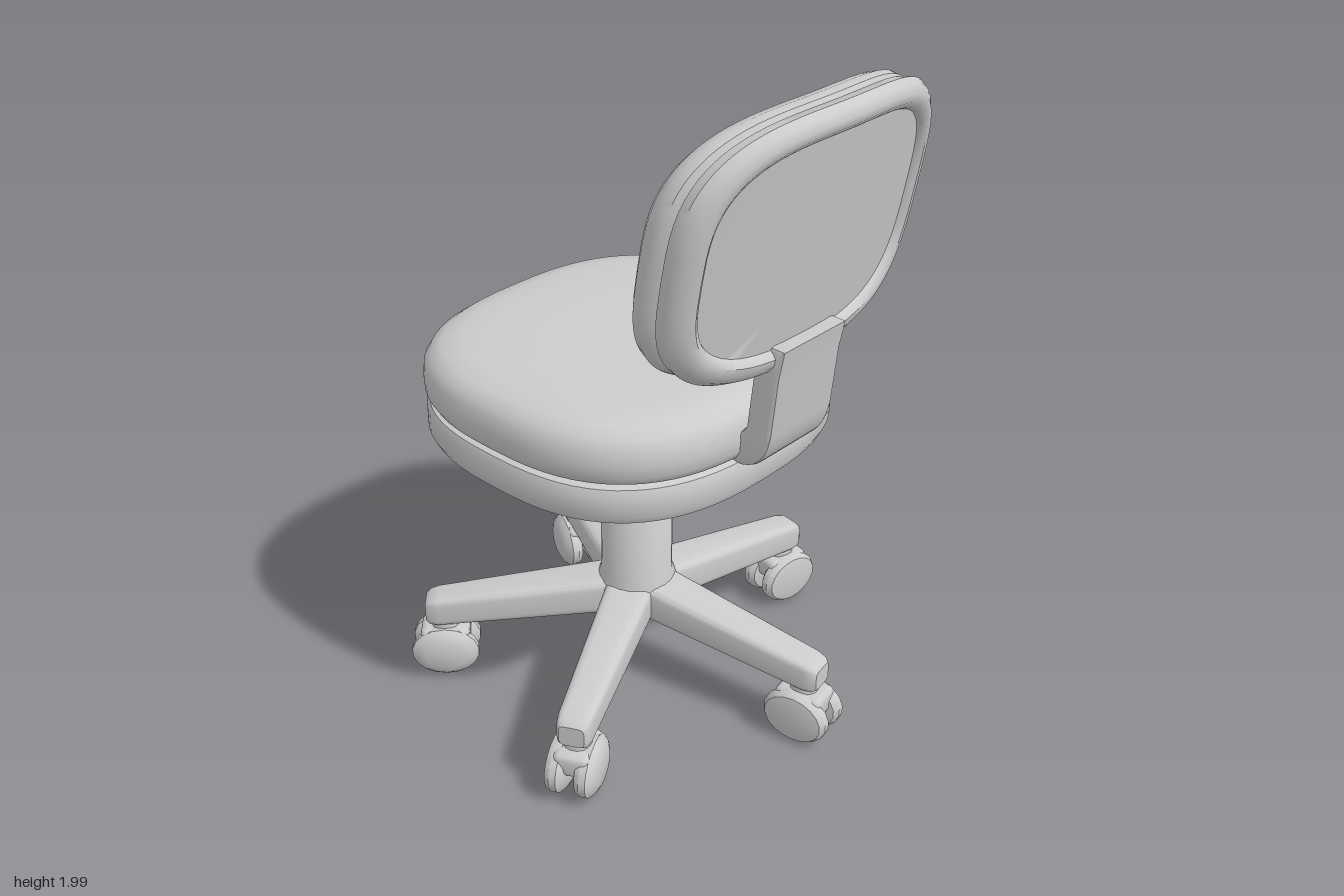
import * as THREE from 'three';
import { toCreasedNormals } from 'three/addons/utils/BufferGeometryUtils.js';
import { RoundedBoxGeometry } from 'three/addons/geometries/RoundedBoxGeometry.js';

const material = new THREE.MeshStandardMaterial({ color: 0xcccccc });

function part(name, geometry, crease = 0.7) {
  const mesh = new THREE.Mesh(toCreasedNormals(geometry, crease), material);
  mesh.name = name;
  return mesh;
}

// Stacks superellipse rings; each section is [height, inset, scale].
// place(a, b, h) puts a ring point into the model (a, b, h right-handed).
function loft(sections, halfA, halfB, power, place, segments = 56) {
  const positions = [], index = [];
  const curve = (v) => Math.sign(v) * Math.abs(v) ** (2 / power);
  sections.forEach(([h, inset, scale = 1], i) => {
    for (let j = 0; j < segments; j++) {
      const t = (j / segments) * Math.PI * 2;
      const a = (halfA - inset) * scale * curve(Math.cos(t));
      const b = (halfB - inset) * scale * curve(Math.sin(t));
      positions.push(...place(a, b, h));
      if (i === sections.length - 1) continue;
      const p = i * segments + j, q = i * segments + (j + 1) % segments;
      index.push(p, q, q + segments, p, q + segments, p + segments);
    }
  });
  const geometry = new THREE.BufferGeometry();
  geometry.setAttribute('position', new THREE.Float32BufferAttribute(positions, 3));
  geometry.setIndex(index);
  return geometry;
}

const lathe = (points, segments) =>
  new THREE.LatheGeometry(points.map(([r, y]) => new THREE.Vector2(r, y)), segments);

// Seat pan and cushion, separated by a groove
function makeSeat() {
  const sections = [
    [0.862, 0, 0], [0.862, 0.04], [0.872, 0.015], [0.895, 0.004], [0.955, 0.004],
    [0.975, 0.012], [0.983, 0.032], [0.992, 0.014], [1.015, 0.002], [1.05, 0],
    [1.09, 0.004], [1.12, 0.02], [1.142, 0.05], [1.153, 0.1], [1.158, 0.18],
    [1.158, 0, 0.4], [1.156, 0, 0],
  ];
  return part('seat', loft(sections, 0.527, 0.555, 2.65,
    (a, b, h) => [a - 0.065, h, 0.01 - b], 72));
}

// Tilted, gently wrapped backrest with a groove and a recessed rear panel
function makeBackrest() {
  const sections = [
    [0.418, 0, 0], [0.417, 0, 0.4], [0.418, 0, 0.7], [0.426, 0.07], [0.445, 0.035],
    [0.475, 0.01], [0.505, 0], [0.53, 0.004], [0.543, 0.022], [0.555, 0.005],
    [0.585, 0], [0.608, 0.013], [0.622, 0.035], [0.622, 0.055], [0.61, 0.07],
    [0.6, 0.075], [0.6, 0.075, 0.7], [0.6, 0.075, 0.4], [0.6, 0, 0],
  ];
  return part('backrest', loft(sections, 0.365, 0.483, 3.2,
    (a, b, h) => [h + 0.18 * a - 0.3 * b * b, 1.635 + a, 0.007 + b], 72));
}

// Curved strap joining seat and backrest
function makeBracket() {
  const s = new THREE.Shape();
  s.moveTo(0.41, 0.985);
  s.lineTo(0.46, 0.985);
  s.quadraticCurveTo(0.53, 1.0, 0.545, 1.1);
  s.lineTo(0.562, 1.27);
  s.lineTo(0.577, 1.345);
  s.lineTo(0.53, 1.345);
  s.lineTo(0.5, 1.26);
  s.lineTo(0.483, 1.1);
  s.quadraticCurveTo(0.475, 1.06, 0.41, 1.05);
  s.closePath();
  const geometry = new THREE.ExtrudeGeometry(s, {
    depth: 0.23, bevelEnabled: true, bevelSize: 0.012, bevelThickness: 0.015,
    bevelSegments: 2, curveSegments: 8,
  });
  geometry.translate(0, 0, -0.107);
  return part('backBracket', geometry);
}

// Twin-wheel caster, rolling along the leg
function makeCaster() {
  const caster = new THREE.Group();
  caster.name = 'caster';
  const profile = [
    [0, -0.034], [0.05, -0.032], [0.07, -0.022], [0.083, -0.008],
    [0.083, 0.012], [0.074, 0.028], [0.05, 0.034], [0, 0.034],
  ];
  for (const side of [-1, 1]) {
    const wheel = part('casterWheel', lathe(profile, 18)
      .rotateX(Math.PI / 2).scale(1.25, 1, 1).translate(0, 0.09, side * 0.043), 0.6);
    caster.add(wheel);
  }
  const hood = part('casterHood',
    new RoundedBoxGeometry(0.15, 0.075, 0.11, 2, 0.02).translate(0, 0.13, 0));
  const stem = part('casterStem',
    new THREE.CylinderGeometry(0.04, 0.045, 0.07, 14).translate(0, 0.175, 0));
  caster.add(hood, stem);
  caster.position.x = 0.595;
  return caster;
}

// Tapered leg sloping down from the hub
function makeLeg() {
  const sections = [
    [0.0, 0, 0], [0.0, 0], [0.15, 0], [0.35, 0], [0.61, 0],
    [0.638, 0.006], [0.65, 0.02], [0.65, 0, 0],
  ];
  return part('leg', loft(sections, 0.062, 0.078, 5,
    (a, b, h) => [h, 0.303 - 0.118 * h + a * (1 - 0.35 * h), b * (1 - 0.55 * h)], 32));
}

export function createModel() {
  const chair = new THREE.Group();
  chair.name = 'swivelChair';
  chair.add(makeSeat(), makeBackrest(), makeBracket());

  const base = new THREE.Group();
  base.name = 'base';
  base.position.set(-0.025, 0, 0.028);

  // Hub, gas-lift column and flared seat mount
  base.add(part('column', lathe([
    [0, 0.235], [0.09, 0.235], [0.118, 0.26], [0.118, 0.345], [0.108, 0.37],
    [0.107, 0.595], [0.098, 0.61], [0.08, 0.612], [0.08, 0.785], [0.1, 0.802],
    [0.15, 0.82], [0.215, 0.845], [0.23, 0.868], [0, 0.868],
  ], 24), 0.6));

  for (let i = 0; i < 5; i++) {
    const spoke = new THREE.Group();
    spoke.name = 'spoke';
    spoke.rotation.y = THREE.MathUtils.degToRad(9 + 72 * i);
    spoke.add(makeLeg(), makeCaster());
    base.add(spoke);
  }
  chair.add(base);
  return chair;
}
